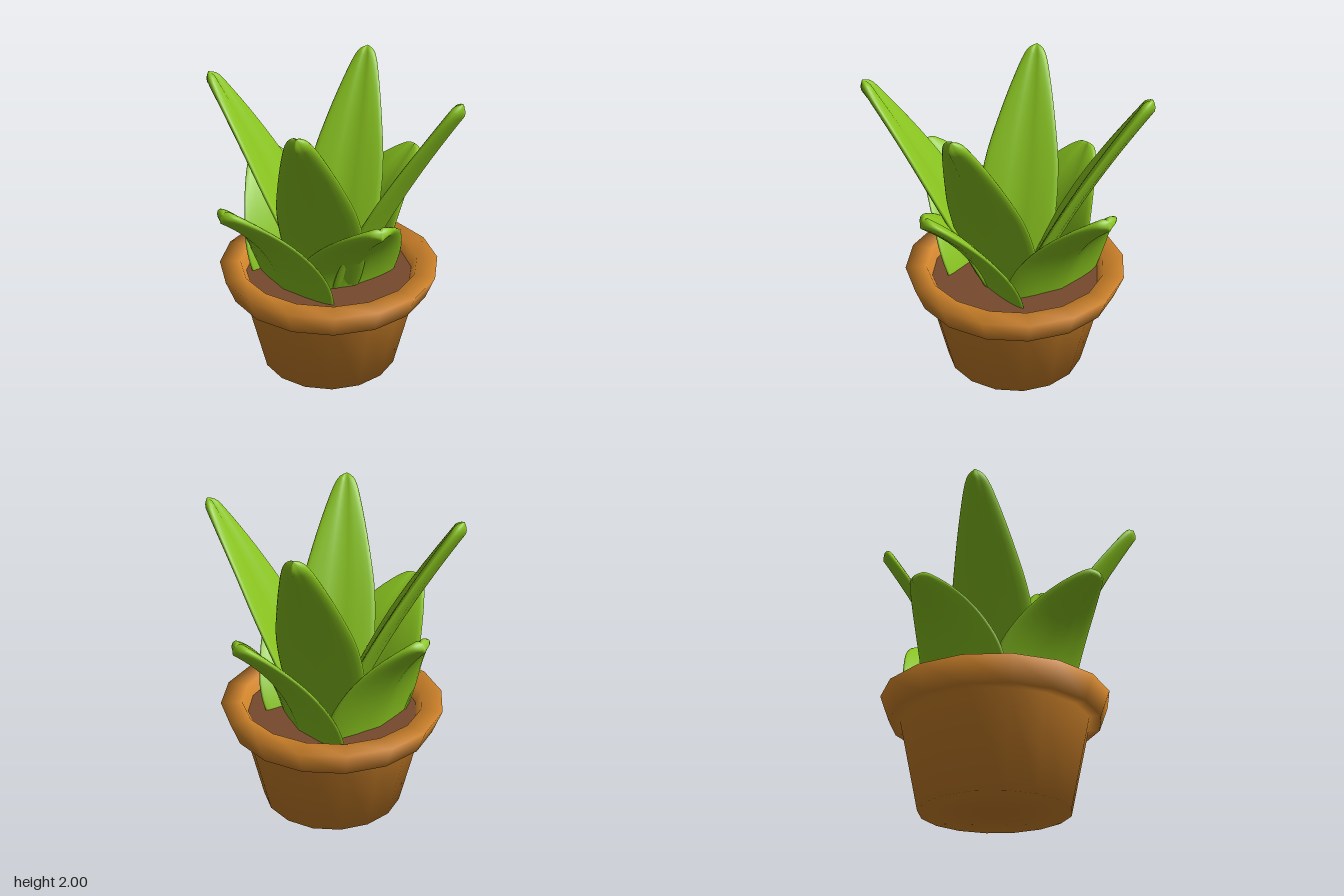
import * as THREE from 'three';

const mat = (name, color) => {
  const m = new THREE.MeshStandardMaterial({ color });
  m.name = name;
  return m;
};

// Half-width along the blade: (position from base to tip, half-width)
const tallWidth = [[0, 0.18], [0.1, 0.23], [0.27, 0.27], [0.5, 0.257], [0.7, 0.195], [0.88, 0.118], [0.97, 0.063], [1, 0]];
const shortWidth = [[0, 0.36], [0.15, 0.385], [0.32, 0.375], [0.55, 0.31], [0.75, 0.225], [0.9, 0.136], [0.98, 0.068], [1, 0]];

// Lofted blade: lens section, cupped inward and creased along the midrib
function leafGeometry(base, tip, bulge, widths) {
  const flat = new THREE.Vector3(tip[0] - base[0], 0, tip[2] - base[2]);
  const reach = flat.length();
  const dir = flat.normalize();
  const up = new THREE.Vector3(0, 1, 0);
  const start = new THREE.Vector2(0, base[1]);
  const end = new THREE.Vector2(reach, tip[1]);
  const control = new THREE.Vector2(reach * bulge[0], base[1] + (tip[1] - base[1]) * bulge[1]);
  const spine = new THREE.QuadraticBezierCurve(start, control, end);
  const outline = new THREE.SplineCurve(widths.map(([s, w]) => new THREE.Vector2(s, w)));

  const rings = 28, sides = 24;
  const pos = [], index = [];
  for (let i = 0; i <= rings; i++) {
    const o = outline.getPoint(i / rings);
    const s = Math.min(1, Math.max(0, o.x)), w = Math.max(0, o.y);
    const c = spine.getPoint(s), t = spine.getTangent(s);
    const along = dir.clone().multiplyScalar(t.x).addScaledVector(up, t.y);
    const inner = dir.clone().multiplyScalar(-t.y).addScaledVector(up, t.x);
    const side = inner.clone().cross(along);
    const thick = Math.min(0.036, w * 0.6);
    for (let j = 0; j < sides; j++) {
      const a = (j / sides) * Math.PI * 2;
      const u = Math.cos(a), v = Math.sin(a);
      const crease = thick * 0.4 * Math.max(0, 1 - Math.abs(u) / 0.3);
      const lift = thick * v + 0.13 * w * u * u - crease;
      const p = new THREE.Vector3(base[0], 0, base[2])
        .addScaledVector(dir, c.x).addScaledVector(up, c.y)
        .addScaledVector(side, u * w).addScaledVector(inner, lift);
      pos.push(p.x, p.y, p.z);
      if (i < rings) {
        const k = i * sides + j, n = i * sides + (j + 1) % sides;
        index.push(k, n, k + sides, n, n + sides, k + sides);
      }
    }
  }
  const g = new THREE.BufferGeometry();
  g.setAttribute('position', new THREE.Float32BufferAttribute(pos, 3));
  g.setIndex(index);
  g.computeVertexNormals();
  return g;
}

export function createModel() {
  const model = new THREE.Group();
  model.name = 'pottedPlant';
  const clay = mat('clay', 0xcf832a);
  const earth = mat('earth', 0x764a2c);
  const green = mat('leafGreen', 0x89c41f);

  const add = (name, geometry, material, parent = model) => {
    const mesh = new THREE.Mesh(geometry, material);
    mesh.name = name;
    parent.add(mesh);
    return mesh;
  };

  // Pot with a flared rim, softly shaded across its 16 sides
  const profile = [[0, 0], [0.477, 0], [0.607, 0.575], [0.68, 0.575], [0.74, 0.735], [0.6, 0.735], [0.55, 0.63]];
  const pot = add('pot', new THREE.LatheGeometry(profile.map(([r, y]) => new THREE.Vector2(r, y)), 16), clay);
  pot.position.set(0.04, 0, -0.06);

  // Soil disc
  const soil = add('soil', new THREE.CircleGeometry(0.57, 16).rotateX(-Math.PI / 2), earth);
  soil.position.set(0.04, 0.66, -0.06);

  // Each leaf: base (x, z), tip (x, z), tip height
  const addLeaves = (name, leaves, bulge, widths) => {
    const group = new THREE.Group();
    group.name = name + 's';
    model.add(group);
    for (const [b, t, height] of leaves) {
      add(name, leafGeometry([b[0], 0.6, b[1]], [t[0], height, t[1]], bulge, widths), green, group);
    }
  };

  // Tall inner leaves, spreading from the middle of the rosette
  addLeaves('tallLeaf', [
    [[-0.02, -0.09], [-0.33, -0.76], 1.995],
    [[0.12, -0.09], [0.8, -0.39], 1.995],
    [[0.06, 0.085], [0.26, 0.79], 1.995],
    [[-0.085, 0.045], [-0.77, 0.45], 1.995],
  ], [0.34, 0.47], tallWidth);

  // Short outer leaves, broad at the base and curling outward
  addLeaves('shortLeaf', [
    [[-0.29, -0.1], [-0.82, -0.13], 1.37],
    [[0.35, -0.1], [0.82, 0.05], 1.37],
    [[0.04, -0.4], [0.11, -0.79], 1.37],
    [[0.0, 0.14], [-0.19, 0.58], 1.255],
  ], [0.2, 0.6], shortWidth);
  return model;
}
